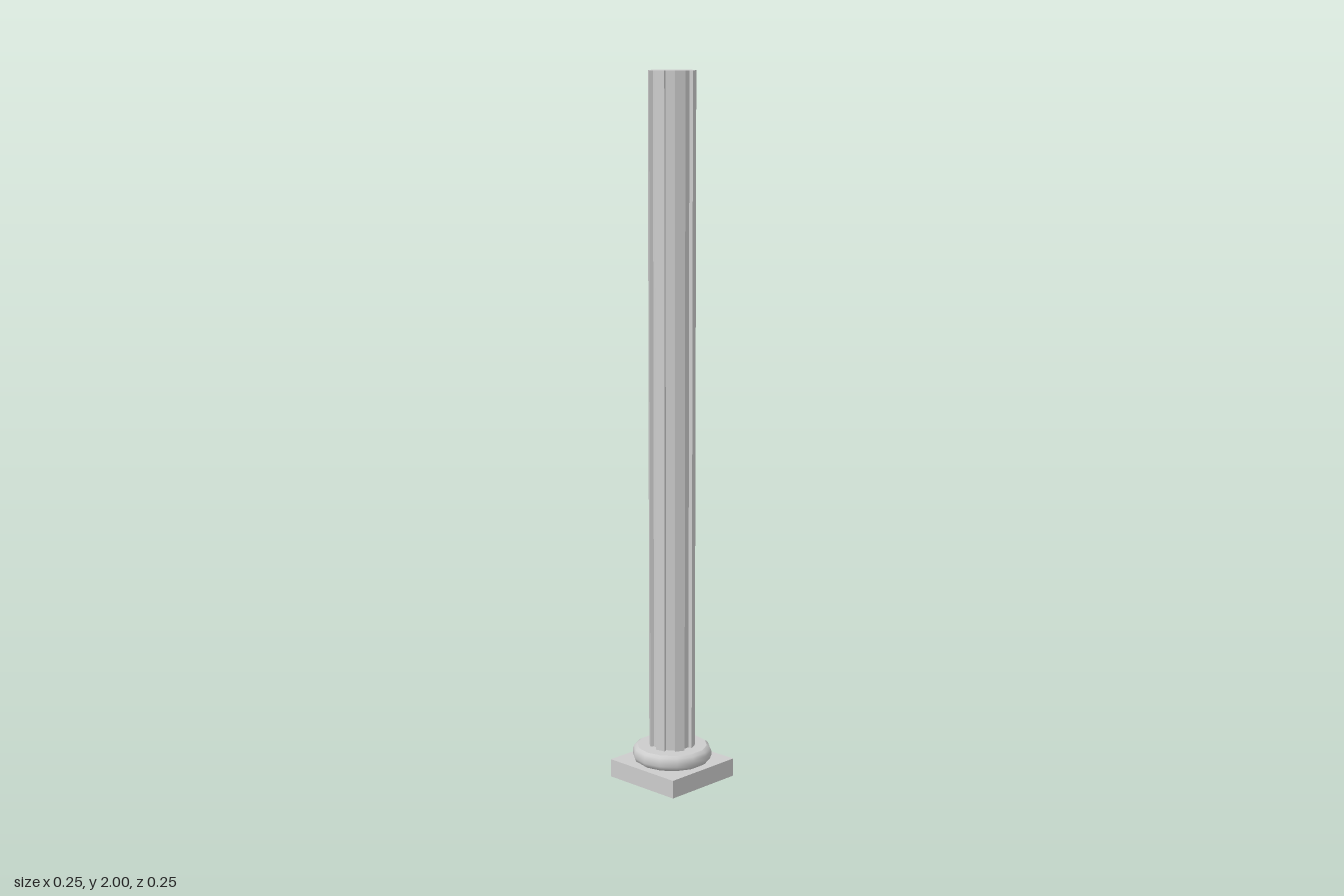
import * as THREE from 'three';

const SIDES = 14;
const STEP = (Math.PI * 2) / SIDES;

export function createModel() {
  const stone = new THREE.MeshStandardMaterial({ color: 0xcccccc });
  stone.name = 'paleStone';
  const column = new THREE.Group();
  column.name = 'column';

  const add = (name, geometry, y) => {
    const mesh = new THREE.Mesh(geometry, stone);
    mesh.name = name;
    mesh.position.y = y;
    column.add(mesh);
  };

  // Square plinth
  add('plinth', new THREE.BoxGeometry(0.248, 0.052, 0.248), 0.026);

  // Rounded base ring with a flat top
  const profile = [
    [0.1, 0.052], [0.109, 0.058], [0.113, 0.068],
    [0.113, 0.081], [0.109, 0.091], [0.1, 0.097],
  ].map(([r, y]) => new THREE.Vector2(r, y));
  add('baseRing', new THREE.LatheGeometry(profile, SIDES, Math.PI / 2), 0);
  add('baseRingTop', new THREE.CircleGeometry(0.1, SIDES).rotateX(-Math.PI / 2), 0.097);

  // Fluted shaft: every second face of a 14-sided prism stands proud
  const outline = [];
  const corner = (r, k) => outline.push(new THREE.Vector2(r * Math.cos(k * STEP), r * Math.sin(k * STEP)));
  for (let k = 1; k < SIDES; k += 2) {
    corner(0.0545, k);
    corner(0.0655, k);
    corner(0.0655, k + 1);
    corner(0.0545, k + 1);
  }
  const shaft = new THREE.ExtrudeGeometry(new THREE.Shape(outline), { depth: 1.905, bevelEnabled: false });
  add('shaft', shaft.rotateX(-Math.PI / 2), 0.095);

  return column;
}
